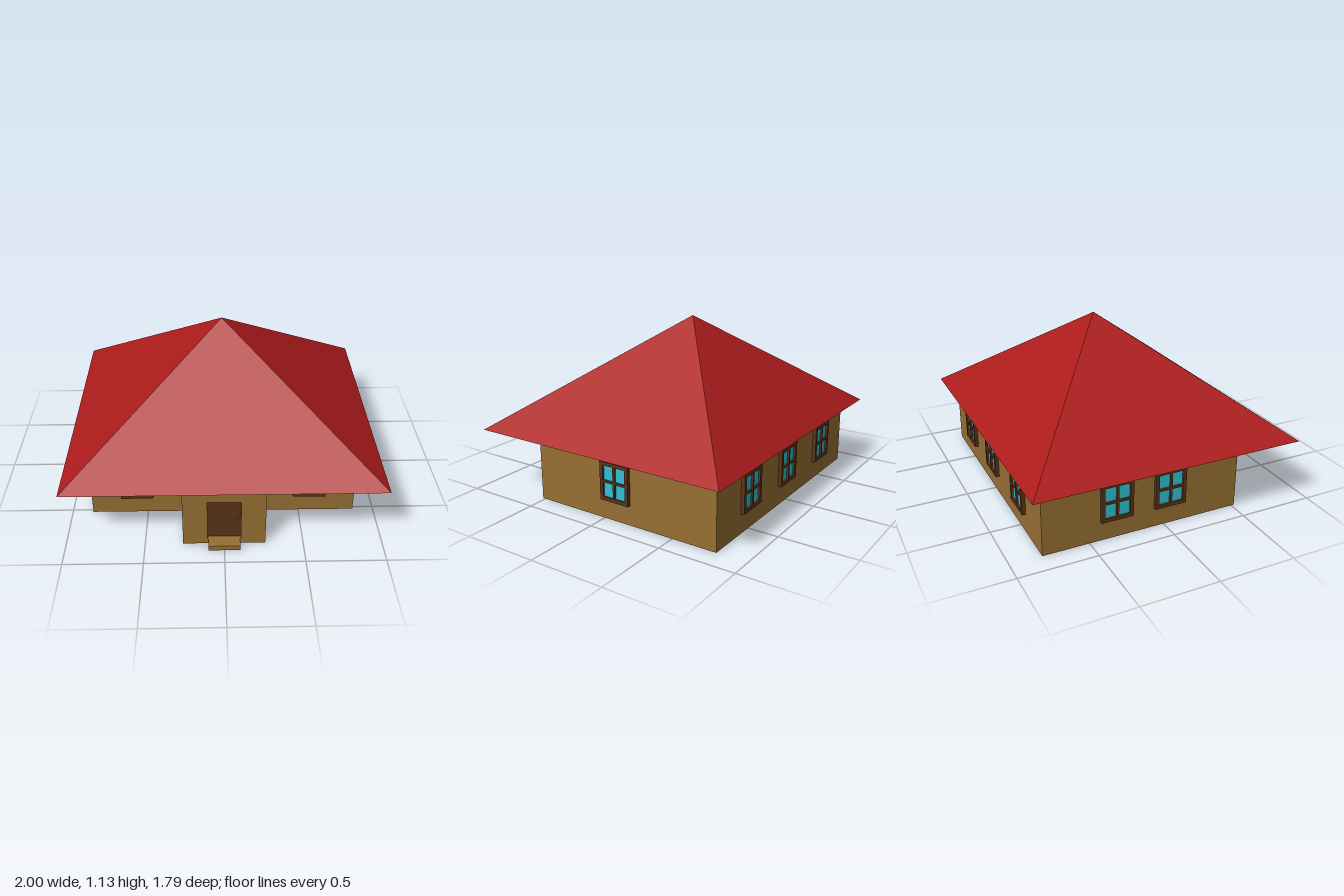
import * as THREE from 'three';
import { ConvexGeometry } from 'three/addons/geometries/ConvexGeometry.js';

const mat = (color) => new THREE.MeshStandardMaterial({ color });
const wallMat = mat(0x966f33), roofMat = mat(0xac1b1b), woodMat = mat(0x5a3418);
const glassMat = mat(0x30c0d4), knobMat = mat(0x444444);

// House plan: main block with a porch in front
const W = 0.865, FRONT = 0.52, BACK = -0.8, PORCH_W = 0.26, PORCH_Z = 0.83;
const WALL_H = 0.44, T = 0.07;
const DOOR_W = 0.21, STEP_H = 0.035, DOOR_TOP = 0.335;

function mesh(name, geometry, material, x = 0, y = 0, z = 0) {
  const m = new THREE.Mesh(geometry, material);
  m.name = name;
  m.position.set(x, y, z);
  return m;
}

function rect(x0, y0, x1, y1, Type = THREE.Shape) {
  const r = new Type();
  r.moveTo(x0, y0).lineTo(x1, y0).lineTo(x1, y1).lineTo(x0, y1).closePath();
  return r;
}

const extrude = (shape, depth) => new THREE.ExtrudeGeometry(shape, { depth, bevelEnabled: false });

// Four-pane window, its back on z = 0 and facing +z
function makeWindow(name) {
  const w = 0.105, h = 0.125, border = 0.023, bar = 0.007;
  const frame = rect(-w, -h, w, h);
  for (const sx of [-1, 1]) for (const sy of [-1, 1]) {
    const xs = [sx * bar, sx * (w - border)].sort((a, b) => a - b);
    const ys = [sy * bar, sy * (h - border)].sort((a, b) => a - b);
    frame.holes.push(rect(xs[0], ys[0], xs[1], ys[1], THREE.Path));
  }
  const g = new THREE.Group();
  g.name = name;
  g.add(mesh('windowFrame', extrude(frame, 0.024), woodMat));
  g.add(mesh('windowGlass', new THREE.BoxGeometry(2 * w - 0.02, 2 * h - 0.02, 0.01), glassMat, 0, 0, 0.006));
  return g;
}

function makeWalls() {
  const g = new THREE.Group();
  g.name = 'walls';

  // Wall strip around the plan, open at the porch front
  const half = [
    [PORCH_W, PORCH_Z - T], [PORCH_W, FRONT], [W, FRONT], [W, BACK],
  ];
  const innerHalf = [
    [W - T, BACK + T], [W - T, FRONT - T], [PORCH_W - T, FRONT - T], [PORCH_W - T, PORCH_Z - T],
  ];
  const mirror = (pts) => pts.map(([x, z]) => [-x, z]).reverse();
  const outline = [...half, ...mirror(half), ...mirror(innerHalf), ...innerHalf];
  const plan = new THREE.Shape(outline.map(([x, z]) => new THREE.Vector2(x, -z)));
  g.add(mesh('houseWalls', extrude(plan, WALL_H).rotateX(-Math.PI / 2), wallMat));

  // Porch front with the doorway cut out
  const porch = rect(-PORCH_W, 0, PORCH_W, WALL_H);
  porch.holes.push(rect(-DOOR_W / 2, STEP_H, DOOR_W / 2, DOOR_TOP, THREE.Path));
  g.add(mesh('porchFront', extrude(porch, T), wallMat, 0, 0, PORCH_Z - T));
  return g;
}

export function createModel() {
  const house = new THREE.Group();
  house.name = 'house';
  house.add(makeWalls());

  // Pyramid roof with a flat underside
  const eaves = [[-1, 0.885], [1, 0.885], [1, -0.893], [-1, -0.893]];
  const roofPoints = eaves.map(([x, z]) => new THREE.Vector3(x, WALL_H, z));
  roofPoints.push(new THREE.Vector3(0, 1.135, -0.075));
  house.add(mesh('roof', new ConvexGeometry(roofPoints), roofMat));

  // Door, knob and step
  const doorH = DOOR_TOP - STEP_H;
  house.add(mesh('door', new THREE.BoxGeometry(DOOR_W, doorH, 0.03), woodMat, 0, STEP_H + doorH / 2, PORCH_Z - 0.04));
  house.add(mesh('doorKnob', new THREE.SphereGeometry(0.009, 12, 8), knobMat, 0.085, 0.2, PORCH_Z - 0.018));
  house.add(mesh('doorStep', new THREE.BoxGeometry(DOOR_W - 0.01, STEP_H, 0.065), wallMat, 0, STEP_H / 2, PORCH_Z + 0.0325));

  // Windows: name, x, z, turn about y
  const windows = [
    ['frontWindowRight', -0.566, FRONT, 0],
    ['frontWindowLeft', 0.566, FRONT, 0],
    ['backWindowLeft', 0.49, BACK, Math.PI],
    ['backWindowMiddle', 0.015, BACK, Math.PI],
    ['backWindowRight', -0.495, BACK, Math.PI],
    ['leftWindow', W, -0.093, Math.PI / 2],
    ['rightWindowRear', -W, -0.325, -Math.PI / 2],
    ['rightWindowFront', -W, 0.035, -Math.PI / 2],
  ];
  for (const [name, x, z, turn] of windows) {
    const win = makeWindow(name);
    win.position.set(x, 0.255, z);
    win.rotation.y = turn;
    house.add(win);
  }
  return house;
}
